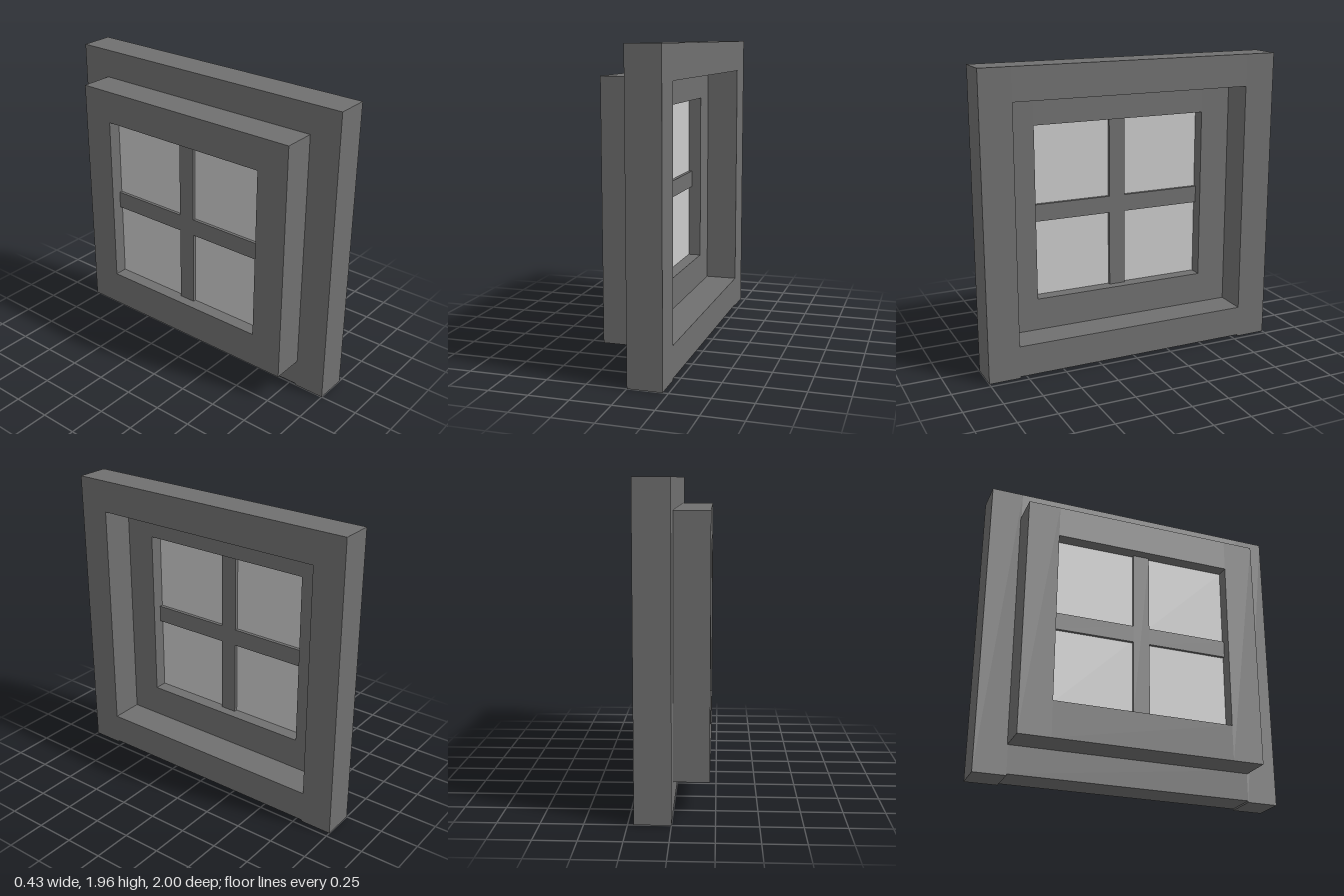
import * as THREE from 'three';

const frameMat = new THREE.MeshStandardMaterial({ color: 0x707070 });
const glassMat = new THREE.MeshStandardMaterial({ color: 0xcccccc });

// Box given by its min/max extents on each axis
function block(name, [x0, x1], [y0, y1], [z0, z1], material = frameMat) {
  const mesh = new THREE.Mesh(new THREE.BoxGeometry(x1 - x0, y1 - y0, z1 - z0), material);
  mesh.position.set((x0 + x1) / 2, (y0 + y1) / 2, (z0 + z1) / 2);
  mesh.name = name;
  return mesh;
}

// Rectangular frame: two full-height posts with two rails between them
function frame(name, x, y, outerZ, innerZ, bottomRail, topRail) {
  const group = new THREE.Group();
  group.name = name;
  group.add(
    block('frontPost', x, y, [innerZ, outerZ]),
    block('backPost', x, y, [-outerZ, -innerZ]),
    block('bottomRail', x, bottomRail, [-innerZ, innerZ]),
    block('topRail', x, topRail, [-innerZ, innerZ]),
  );
  return group;
}

export function createModel() {
  const model = new THREE.Group();
  model.name = 'window';

  // Wide outer surround and the smaller sash behind it
  model.add(frame('outerFrame', [0, 0.215], [0, 1.955], 1, 0.795, [0.01, 0.213], [1.747, 1.955]));
  model.add(frame('innerFrame', [-0.215, 0], [0.19, 1.77], 0.8, 0.592, [0.19, 0.423], [1.56, 1.77]));

  // Crossed glazing bars
  const barX = [-0.15, -0.062];
  model.add(block('verticalBar', barX, [0.423, 1.56], [-0.055, 0.055]));
  model.add(block('horizontalBarFront', barX, [0.925, 1.037], [0.055, 0.592]));
  model.add(block('horizontalBarBack', barX, [0.925, 1.037], [-0.592, -0.055]));

  // Glass pane
  model.add(block('glass', [-0.13, -0.085], [0.423, 1.56], [-0.592, 0.592], glassMat));

  return model;
}
